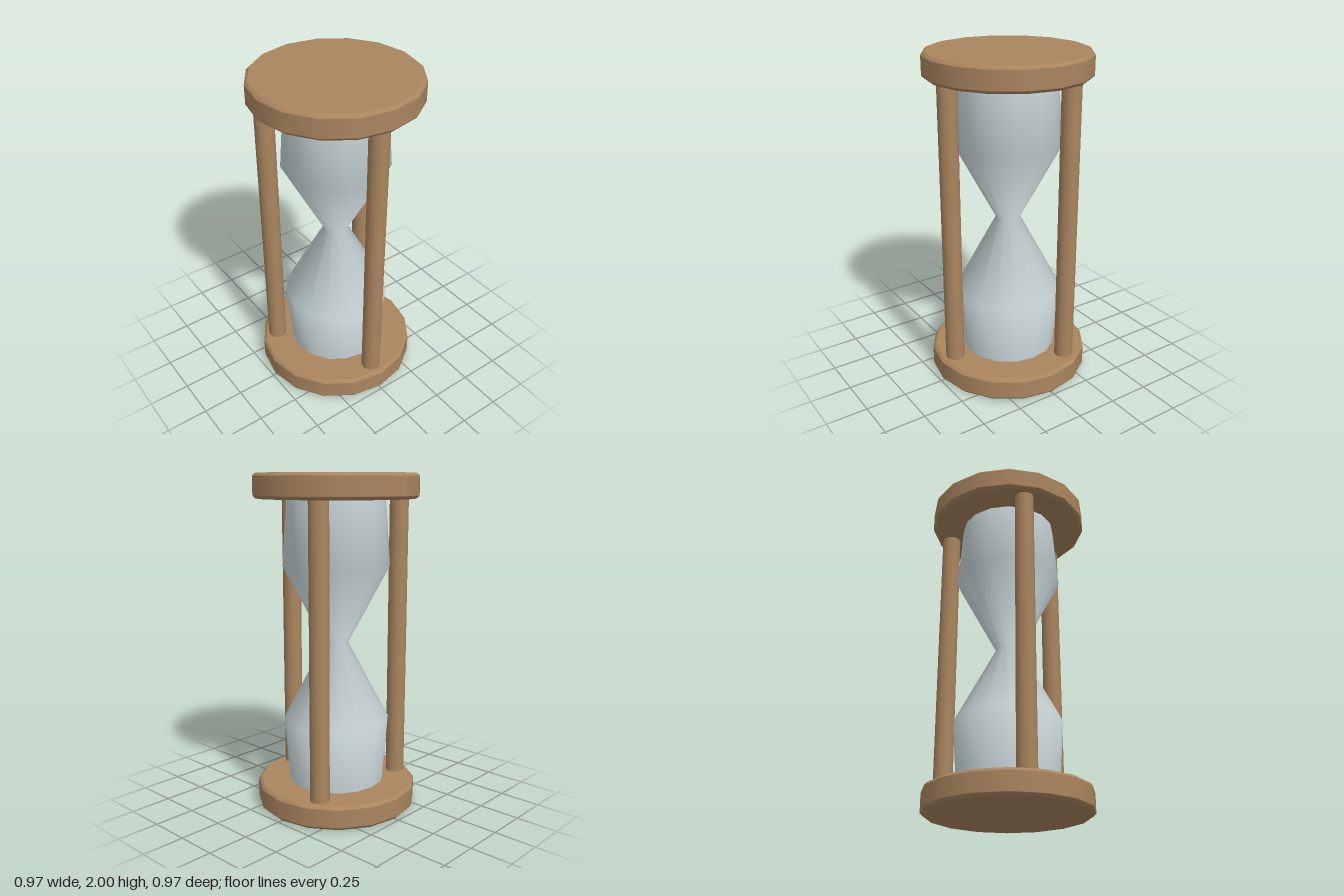
import * as THREE from 'three';

// Revolve a list of [radius, y] points, listed from bottom to top.
function lathe(points, sides) {
  return new THREE.LatheGeometry(points.map(([r, y]) => new THREE.Vector2(r, y)), sides);
}

export function createModel() {
  const model = new THREE.Group();
  model.name = 'hourglass';

  const wood = new THREE.MeshStandardMaterial({ color: 0xaa855f });
  wood.name = 'wood';
  const glass = new THREE.MeshStandardMaterial({ color: 0xcbd7da });
  glass.name = 'pale glass';

  const add = (name, geometry, material, x = 0, y = 0, z = 0) => {
    const mesh = new THREE.Mesh(geometry, material);
    mesh.name = name;
    mesh.position.set(x, y, z);
    model.add(mesh);
    return mesh;
  };

  // End plates: sixteen-sided discs with softened rims
  const R = 0.486, H = 0.145, B = 0.016;
  const plate = lathe([
    [0, 0], [R - B - 0.004, 0], [R - B, 0.001],
    [R, B], [R, B + 0.004], [R, H - B - 0.004], [R, H - B],
    [R - B, H - 0.001], [R - B - 0.004, H], [0, H],
  ], 16);
  add('bottomPlate', plate, wood);
  add('topPlate', plate, wood, 0, 2 - H, 0);

  // Two bulbs meeting at a narrow neck
  add('glassBulbs', lathe([
    [0.289, H - 0.01], [0.32, 0.535], [0.073, 1], [0.32, 1.465], [0.289, 2 - H + 0.01],
  ], 16), glass);

  // Three posts spaced evenly round the glass
  const post = new THREE.CylinderGeometry(0.057, 0.057, 2 - 2 * H + 0.02, 16);
  for (let i = 0; i < 3; i++) {
    const a = -0.022 + i * Math.PI * 2 / 3;
    add('post' + (i + 1), post, wood, 0.39 * Math.sin(a), 1, 0.39 * Math.cos(a));
  }
  return model;
}
